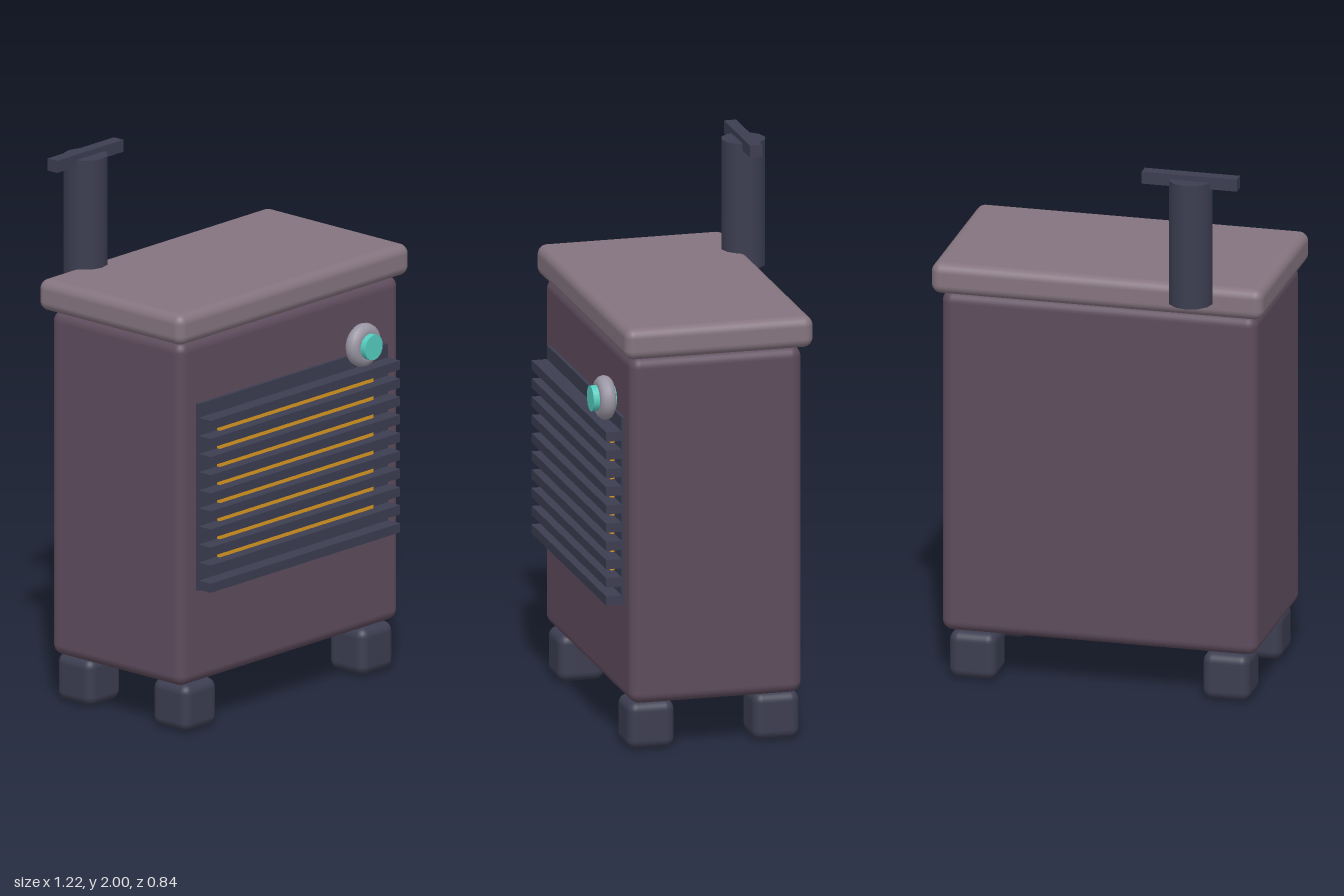
import * as THREE from 'three';
import { RoundedBoxGeometry } from 'three/addons/geometries/RoundedBoxGeometry.js';

const mat = (name, color) => {
  const m = new THREE.MeshStandardMaterial({ color });
  m.name = name;
  return m;
};

export function createModel() {
  const plum = mat('plum body', 0x5e4c5d);
  const mauve = mat('mauve lid', 0x85747f);
  const slate = mat('dark slate', 0x3c3d50);
  const amber = mat('amber glow', 0xd99722);
  const grey = mat('knob grey', 0x9a95a3);
  const teal = mat('teal light', 0x55cdbf);

  const model = new THREE.Group();
  model.name = 'heater';
  const add = (name, geometry, material, x, y, z, parent = model) => {
    const mesh = new THREE.Mesh(geometry, material);
    mesh.name = name;
    mesh.position.set(x, y, z);
    parent.add(mesh);
    return mesh;
  };

  // Cabinet and overhanging lid
  add('body', new RoundedBoxGeometry(1.16, 1.28, 0.635, 4, 0.04), plum, 0, 0.82, 0.015);
  add('lid', new RoundedBoxGeometry(1.22, 0.115, 0.695, 4, 0.035), mauve, 0, 1.5175, 0.01);

  // Four block feet
  const footGeo = new RoundedBoxGeometry(0.172, 0.175, 0.172, 4, 0.035);
  for (const x of [-0.466, 0.466])
    for (const z of [-0.216, 0.246]) add('foot', footGeo, slate, x, 0.0925, z);

  // Front grille: backing panel, louvre slats and glowing bars in the gaps
  const grille = new THREE.Group();
  grille.name = 'grille';
  model.add(grille);
  add('grillePanel', new THREE.BoxGeometry(1, 0.695, 0.03), slate, 0, 0.8775, 0.33, grille);
  const slatGeo = new THREE.BoxGeometry(1, 0.034, 0.07);
  const barGeo = new THREE.BoxGeometry(0.81, 0.032, 0.03);
  const pitch = 0.0673;
  for (let i = 0; i < 10; i++) {
    const y = 1.157 - i * pitch;
    add('slat', slatGeo, slate, 0, y, 0.367, grille);
    if (i < 8) add('glowBar', barGeo, amber, 0, y - pitch / 2, 0.345, grille);
  }

  // Control knob: rounded ring around a lit button
  add('knobRing', new THREE.TorusGeometry(0.05, 0.03, 12, 28), grey, 0.345, 1.26, 0.366);
  const button = add('knobButton', new THREE.CylinderGeometry(0.047, 0.047, 0.09, 14), teal, 0.345, 1.26, 0.373);
  button.rotation.x = Math.PI / 2;

  // Chimney pipe with a crossbar on top
  add('chimney', new THREE.CylinderGeometry(0.08, 0.08, 0.465, 12), slate, -0.35, 1.7475, -0.338);
  add('chimneyBar', new THREE.BoxGeometry(0.35, 0.045, 0.045), slate, -0.35, 1.9775, -0.338);

  return model;
}
